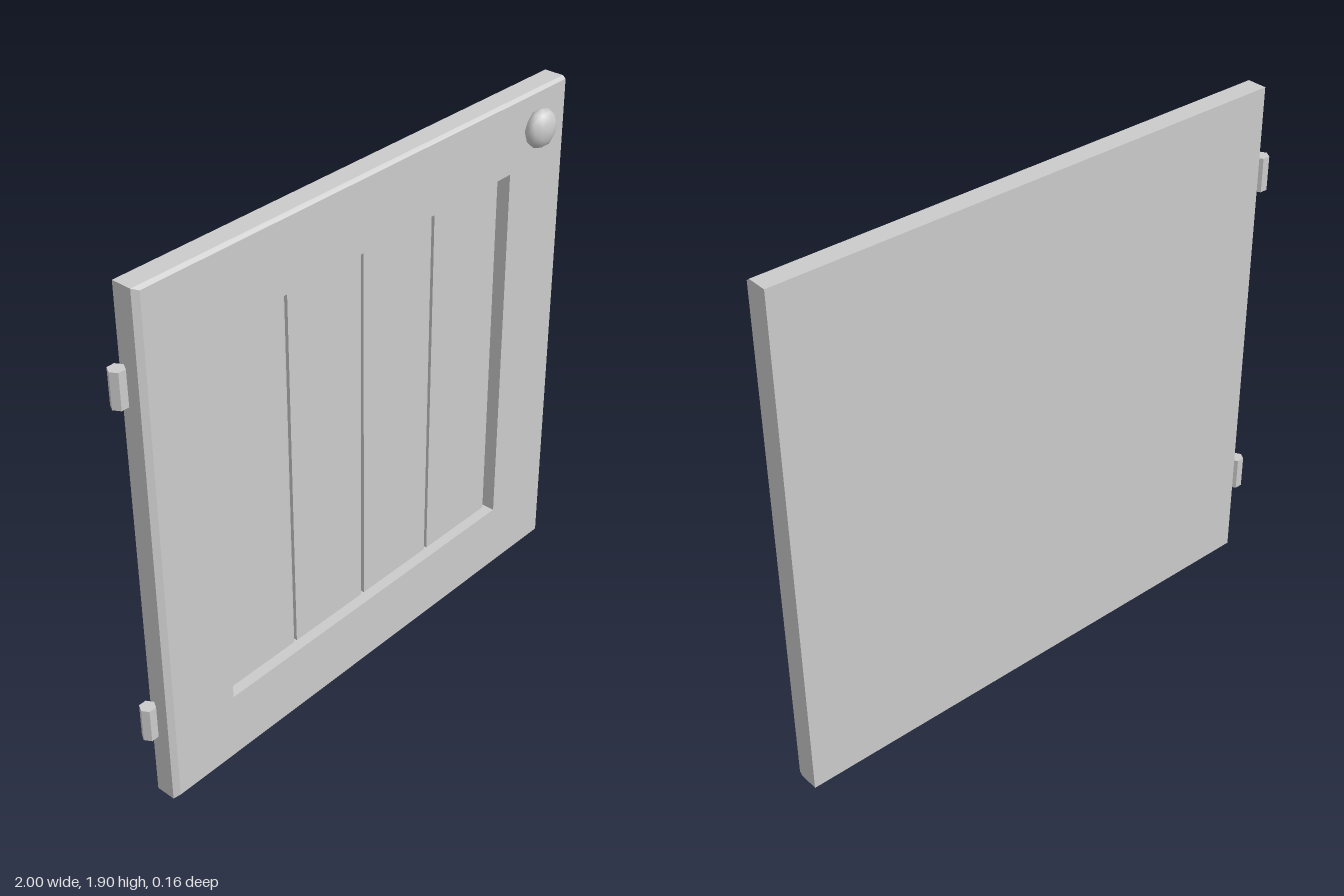
import * as THREE from 'three';

const BACK = -0.07, FRONT = 0.015;
const DOOR = { x0: -0.945, x1: 1, y0: 0, y1: 1.905 };
const PANEL = { x0: -0.665, x1: 0.715, y0: 0.26, y1: 1.645 };
const PLANKS = 4, PLANK_Z = -0.025;

const corners = (r) => [[r.x0, r.y0], [r.x1, r.y0], [r.x1, r.y1], [r.x0, r.y1]].map((p) => new THREE.Vector2(...p));

// Door frame: a slab with a window, its front edges chamfered on the left, top and bottom
function frameGeometry() {
  const shape = new THREE.Shape(corners(DOOR));
  shape.holes.push(new THREE.Path(corners(PANEL)));
  const geo = new THREE.ExtrudeGeometry(shape, { depth: 2, steps: 2, bevelEnabled: false });
  const layers = [BACK, 0.003, FRONT];
  const pos = geo.attributes.position;
  for (let i = 0; i < pos.count; i++) {
    const layer = Math.round(pos.getZ(i));
    pos.setZ(i, layers[layer]);
    if (layer !== 2) continue;
    const x = pos.getX(i), y = pos.getY(i);
    if (x < DOOR.x0 + 0.01) pos.setX(i, x + 0.022);
    if (y < DOOR.y0 + 0.01) pos.setY(i, y + 0.01);
    if (y > DOOR.y1 - 0.01) pos.setY(i, y - 0.01);
  }
  geo.computeVertexNormals();
  return geo;
}

// Recessed planks: a plan profile with one bevelled groove per plank, extruded upwards
function planksGeometry() {
  const step = (PANEL.x1 - PANEL.x0) / PLANKS;
  const pts = [[PANEL.x0, BACK]];
  for (let i = 0; i < PLANKS; i++) {
    const left = PANEL.x0 + i * step, right = left + step;
    pts.push([left, PLANK_Z], [right - 0.018, PLANK_Z], [right - 0.008, PLANK_Z - 0.005], [right, PLANK_Z - 0.014]);
  }
  pts.push([PANEL.x1, BACK]);
  const shape = new THREE.Shape(pts.map(([x, z]) => new THREE.Vector2(x, -z)));
  const geo = new THREE.ExtrudeGeometry(shape, { depth: PANEL.y1 - PANEL.y0, bevelEnabled: false });
  return geo.rotateX(-Math.PI / 2).translate(0, PANEL.y0, 0);
}

export function createModel() {
  const group = new THREE.Group();
  const smooth = new THREE.MeshStandardMaterial({ color: 0xcccccc });
  const flat = new THREE.MeshStandardMaterial({ color: 0xcccccc, flatShading: true });
  const add = (name, geo, mat, x = 0, y = 0, z = 0) => {
    const mesh = new THREE.Mesh(geo, mat);
    mesh.name = name;
    mesh.position.set(x, y, z);
    group.add(mesh);
    return mesh;
  };

  add('doorFrame', frameGeometry(), flat);
  add('plankPanel', planksGeometry(), flat);

  // Flattened round knob
  const knob = new THREE.IcosahedronGeometry(0.07, 1).scale(1, 1, 0.6);
  add('knob', knob, smooth, 0.845, 1.775, 0.036);

  // Hexagonal hinge barrels
  const hinge = new THREE.CylinderGeometry(0.028, 0.028, 0.125, 6, 1, false, Math.PI / 2);
  for (const [name, y] of [['lowerHinge', 0.328], ['upperHinge', 1.583]]) add(name, hinge, flat, -0.972, y, -0.053);

  return group;
}
